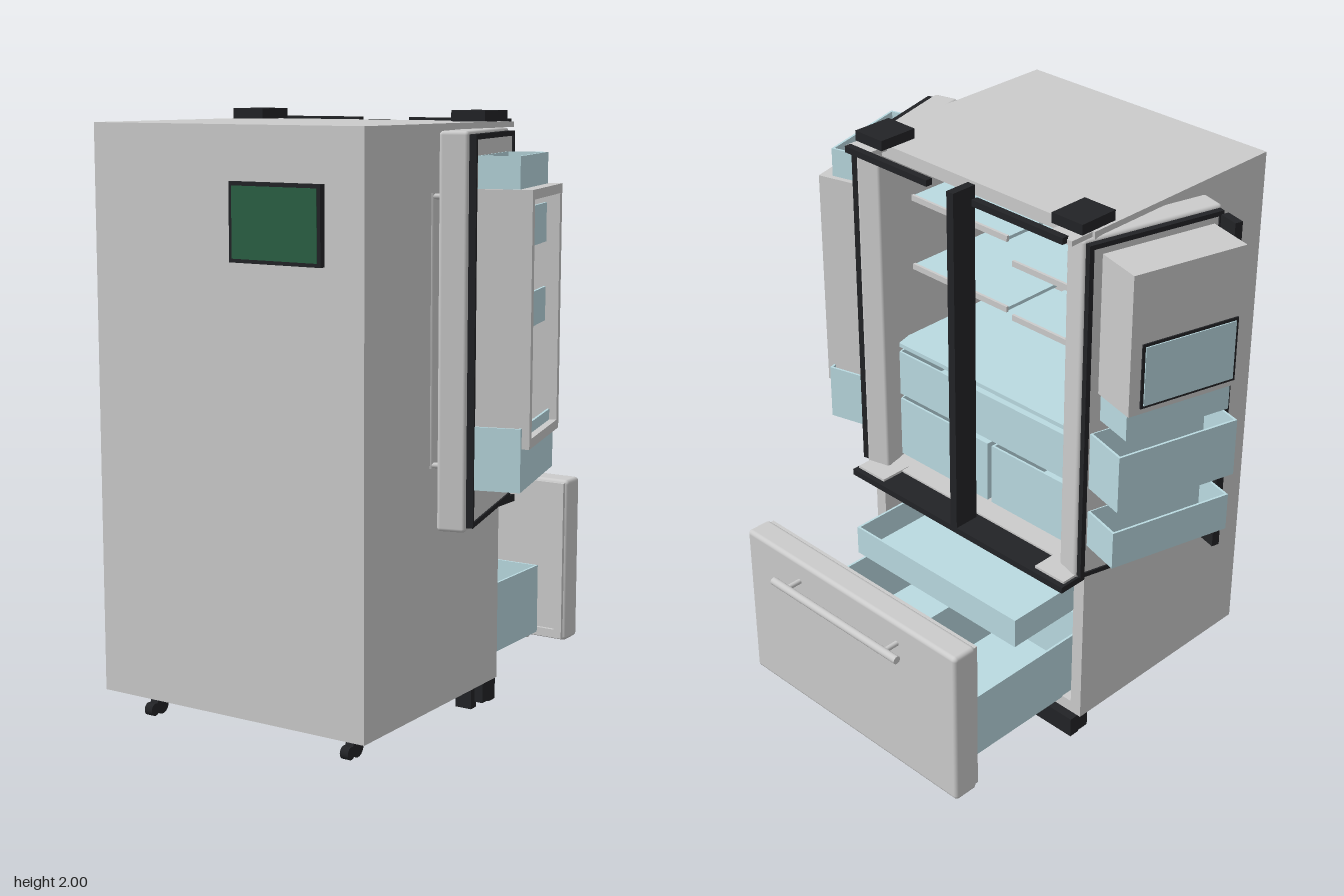
import * as THREE from 'three';
import { RoundedBoxGeometry } from 'three/addons/geometries/RoundedBoxGeometry.js';

const mat = (color, side = THREE.FrontSide) => new THREE.MeshStandardMaterial({ color, side });
const GREY = mat(0xcccccc), BLACK = mat(0x222326), GLASS = mat(0xbadae1), GREEN = mat(0x2a6044);

function add(parent, name, geometry, material, x, y, z) {
  const m = new THREE.Mesh(geometry, material);
  m.name = name;
  m.position.set(x, y, z);
  parent.add(m);
  return m;
}

// Box given by its two extremes on each axis
function box(parent, name, material, x0, x1, y0, y1, z0, z1, round = 0) {
  const w = Math.abs(x1 - x0), h = Math.abs(y1 - y0), d = Math.abs(z1 - z0);
  const g = round ? new RoundedBoxGeometry(w, h, d, 3, round) : new THREE.BoxGeometry(w, h, d);
  return add(parent, name, g, material, (x0 + x1) / 2, (y0 + y1) / 2, (z0 + z1) / 2);
}

// Cylinder along a chosen axis
function rod(parent, name, material, r, len, axis, x, y, z) {
  const m = add(parent, name, new THREE.CylinderGeometry(r, r, len, 20), material, x, y, z);
  if (axis === 'x') m.rotation.z = Math.PI / 2;
  if (axis === 'z') m.rotation.x = Math.PI / 2;
  return m;
}

// Open-topped tray with thin walls
function tray(parent, name, x0, x1, y0, y1, z0, z1, t = 0.008) {
  const g = new THREE.Group();
  g.name = name;
  parent.add(g);
  box(g, 'trayFloor', GLASS, x0, x1, y0, y0 + t, z0, z1);
  box(g, 'traySide', GLASS, x0, x0 + t, y0 + t, y1, z0, z1);
  box(g, 'traySide', GLASS, x1 - t, x1, y0 + t, y1, z0, z1);
  box(g, 'trayEnd', GLASS, x0 + t, x1 - t, y0 + t, y1, z0, z0 + t);
  box(g, 'trayEnd', GLASS, x0 + t, x1 - t, y0 + t, y1, z1 - t, z1);
}

// Rectangular ring standing in the xy plane
function ring(parent, name, material, x0, x1, y0, y1, z0, z1, t) {
  const s = new THREE.Shape([[x0, y0], [x1, y0], [x1, y1], [x0, y1]].map(p => new THREE.Vector2(...p)));
  s.holes.push(new THREE.Path([[x0 + t, y0 + t], [x0 + t, y1 - t], [x1 - t, y1 - t], [x1 - t, y0 + t]]
    .map(p => new THREE.Vector2(...p))));
  return add(parent, name, new THREE.ExtrudeGeometry(s, { depth: z1 - z0, bevelEnabled: false }), material, 0, 0, z0);
}

function cabinet(root) {
  const g = new THREE.Group();
  g.name = 'cabinet';
  root.add(g);
  ring(g, 'cabinetShell', GREY, -0.52, 0.5, 0.1, 1.965, -0.09, 0.685, 0.045);
  box(g, 'rearPanel', GREY, -0.52, 0.5, 0.1, 1.965, 0.685, 0.735);
  box(g, 'compartmentDivider', GREY, -0.475, 0.455, 0.69, 0.72, -0.09, 0.685);

  // Black ledge, centre post and top trims
  box(g, 'frontLedge', BLACK, -0.52, 0.5, 0.69, 0.713, -0.2, -0.09);
  box(g, 'centrePost', BLACK, -0.03, 0.0, 0.713, 1.965, -0.2, -0.105);
  for (const s of [-1, 1]) {
    const c = -0.01;
    box(g, 'topTrim', BLACK, c + s * 0.1, c + s * 0.48, 1.95, 1.972, -0.2, -0.175);
    box(g, 'hingeCover', BLACK, c + s * 0.375, c + s * 0.5, 1.965, 2.0, -0.135, 0.012);
    box(g, 'hingePlate', GREY, c + s * 0.37, c + s * 0.5, 0.705, 0.722, -0.18, -0.06);
    box(g, 'hingePlate', GREY, c + s * 0.4, c + s * 0.5, 1.945, 1.962, -0.18, -0.08);
  }

  // Shelves at staggered heights, then crisper drawers
  for (const [x0, x1, y] of [[-0.47, -0.025, 1.62], [0.0, 0.45, 1.7], [-0.47, -0.025, 1.42], [0.0, 0.45, 1.44]]) {
    box(g, 'glassShelf', GLASS, x0, x1, y, y + 0.012, 0.08, 0.66);
    box(g, 'shelfTrim', GREY, x0, x1, y - 0.005, y + 0.016, 0.07, 0.08);
  }
  box(g, 'crisperCover', GLASS, -0.47, 0.45, 1.17, 1.185, -0.02, 0.66);
  tray(g, 'wideDrawer', -0.46, 0.44, 0.98, 1.15, -0.02, 0.62);
  tray(g, 'crisperDrawer', -0.46, -0.02, 0.73, 0.96, -0.02, 0.62);
  tray(g, 'crisperDrawer', 0.0, 0.44, 0.73, 0.96, -0.02, 0.62);
  rod(g, 'waterFilter', GREY, 0.05, 0.22, 'z', -0.37, 1.75, 0.12);

  // Rear control screen
  box(g, 'screenBezel', BLACK, 0.025, 0.36, 1.55, 1.795, 0.735, 0.757);
  box(g, 'screen', GREEN, 0.037, 0.348, 1.562, 1.783, 0.756, 0.76);

  // Kick plate, feet and casters
  box(g, 'kickPlate', BLACK, -0.5, 0.48, 0.015, 0.09, -0.115, -0.075);
  rod(g, 'drainPlug', BLACK, 0.007, 0.025, 'y', -0.01, 0.088, 0.49);
  for (const s of [-1, 1]) {
    box(g, 'frontFoot', BLACK, -0.01 + s * 0.4, -0.01 + s * 0.46, 0, 0.1, -0.04, -0.005);
    box(g, 'footBracket', BLACK, -0.01 + s * 0.4, -0.01 + s * 0.49, 0.02, 0.095, -0.08, -0.03);
    rod(g, 'casterWheel', BLACK, 0.031, 0.03, 'x', -0.01 + s * 0.39, 0.036, 0.607);
    rod(g, 'casterRoller', BLACK, 0.021, 0.03, 'x', -0.01 + s * 0.39, 0.028, 0.645);
    box(g, 'casterBracket', BLACK, -0.01 + s * 0.39 - 0.01, -0.01 + s * 0.39 + 0.01, 0.04, 0.1, 0.6, 0.625);
  }
}

function freezerDrawer(root) {
  const g = new THREE.Group();
  g.name = 'freezerDrawer';
  root.add(g);
  box(g, 'drawerFront', GREY, -0.52, 0.5, 0.1, 0.69, -0.69, -0.595, 0.015);
  ring(g, 'drawerGasket', GREY, -0.51, 0.49, 0.11, 0.68, -0.597, -0.582, 0.03);
  rod(g, 'drawerHandle', GREY, 0.014, 0.61, 'x', -0.01, 0.61, -0.75);
  for (const x of [-0.25, 0.23]) rod(g, 'handlePost', GREY, 0.009, 0.07, 'z', x, 0.61, -0.718);
  tray(g, 'lowerBasket', -0.435, 0.42, 0.14, 0.385, -0.53, 0.06);
  box(g, 'basketDivider', GLASS, -0.013, -0.005, 0.148, 0.38, -0.522, 0.052);
  tray(g, 'upperBasket', -0.4, 0.38, 0.455, 0.565, -0.295, 0.3);
  for (const x of [-0.405, 0.385]) rod(g, 'basketRoller', GREY, 0.024, 0.018, 'x', x, 0.143, -0.512);
}

// Door swung 105 degrees open; u runs from the hinge, v inward from the inner face
function door(root, s) {
  const g = new THREE.Group();
  g.name = s > 0 ? 'leftDoor' : 'rightDoor';
  g.position.set(s > 0 ? 0.512 : -0.522, 0, -0.133);
  g.rotation.y = -s * THREE.MathUtils.degToRad(75);
  root.add(g);
  const span = (u0, u1) => [Math.min(s * u0, s * u1), Math.max(s * u0, s * u1)];
  const part = (name, m, u0, u1, y0, y1, v0, v1, r) => box(g, name, m, ...span(u0, u1), y0, y1, -v1, -v0, r);
  const bin = (u0, u1, y0, y1, v) => tray(g, 'doorBin', ...span(u0, u1), y0, y1, -v, 0);

  part('doorPanel', GREY, 0, 0.51, 0.705, 1.945, -0.105, -0.012, 0.012);
  part('doorLiner', GREY, 0.025, 0.485, 0.735, 1.92, -0.013, 0.004);
  ring(g, 'doorGasket', BLACK, ...span(0.01, 0.5), 0.72, 1.935, -0.01, 0.013, 0.016);
  rod(g, 'doorHandle', GREY, 0.011, 0.86, 'y', s * 0.46, 1.325, 0.14);
  for (const y of [0.905, 1.745]) rod(g, 'handlePost', GREY, 0.009, 0.05, 'z', s * 0.46, y, 0.12);

  if (s > 0) {
    // Deep frame with bins between its walls
    ring(g, 'binFrame', GREY, ...span(0.06, 0.475), 0.975, 1.77, -0.18, 0, 0.03);
    for (const [y0, y1] of [[1.76, 1.87], [1.585, 1.71], [1.33, 1.44]]) bin(0.08, 0.458, y0, y1, 0.137);
    bin(0.035, 0.49, 0.84, 1.04, 0.156);
  } else {
    // Ice maker, dispenser and folding seal
    part('iceMaker', GREY, 0.06, 0.47, 1.41, 1.895, 0, 0.172);
    part('iceDoorFrame', BLACK, 0.1, 0.455, 1.43, 1.655, 0.172, 0.177);
    part('iceDoor', GLASS, 0.11, 0.445, 1.44, 1.645, 0.176, 0.181);
    bin(0.07, 0.46, 1.31, 1.41, 0.15);
    bin(0.035, 0.485, 1.065, 1.27, 0.17);
    bin(0.035, 0.485, 0.84, 0.975, 0.152);
    part('foldingSeal', BLACK, 0.487, 0.515, 0.725, 1.925, 0.012, 0.085);
    part('dispenser', BLACK, 0.15, 0.45, 1.18, 1.6, -0.115, -0.1);
  }
}

export function createModel() {
  const root = new THREE.Group();
  root.name = 'refrigerator';
  cabinet(root);
  freezerDrawer(root);
  door(root, 1);
  door(root, -1);
  return root;
}
